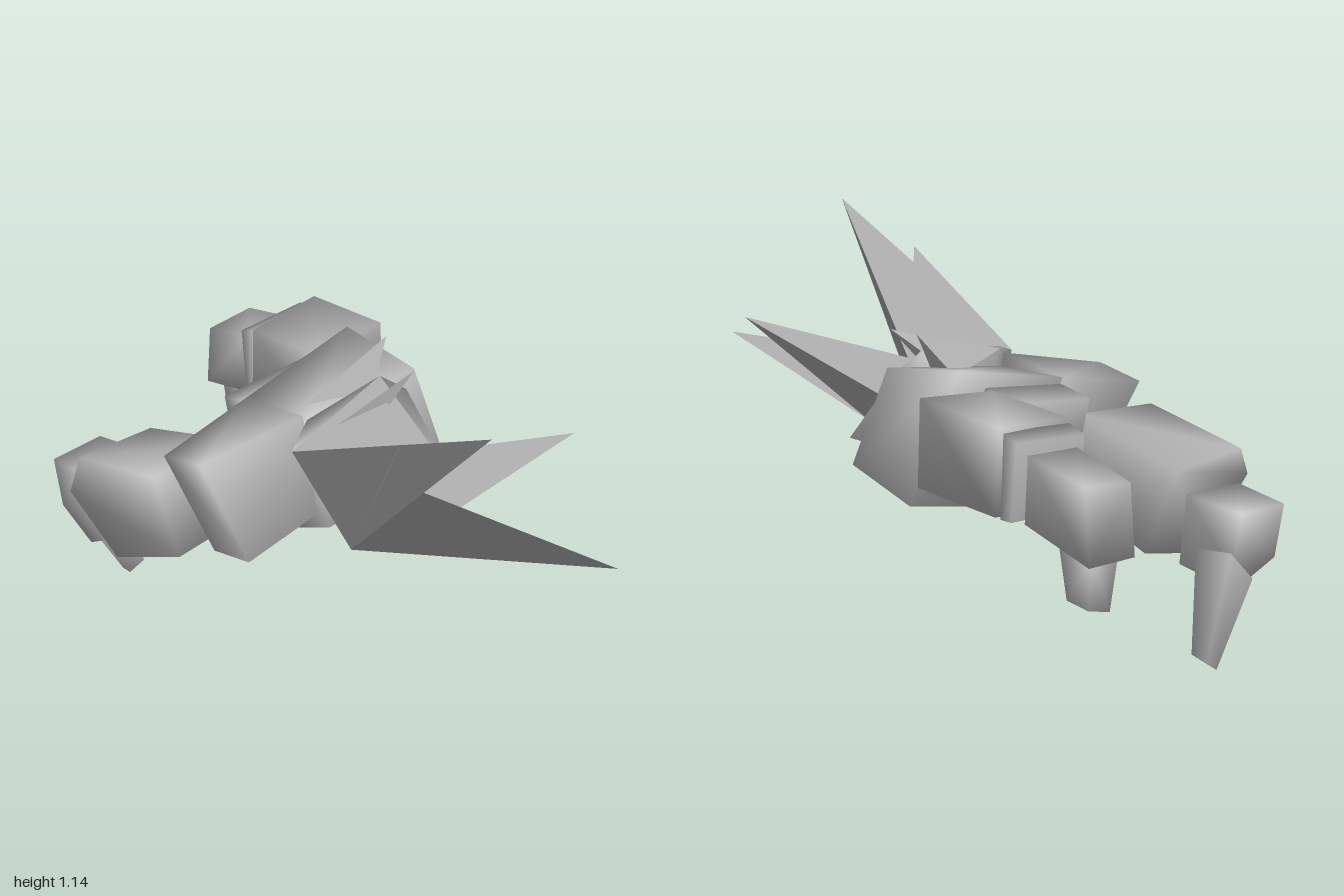
import * as THREE from 'three';
import { mergeVertices } from 'three/addons/utils/BufferGeometryUtils.js';
import { ConvexGeometry } from 'three/addons/geometries/ConvexGeometry.js';

export function createModel() {
  const model = new THREE.Group();
  model.name = 'clawedHand';
  const stone = new THREE.MeshStandardMaterial({ color: 0xb2b2b2, side: THREE.DoubleSide });
  stone.name = 'grey stone';

  const add = (name, geometry) => {
    const mesh = new THREE.Mesh(geometry, stone);
    mesh.name = name;
    model.add(mesh);
  };

  // Soft-shaded convex block from its corner points
  const block = (name, ...corners) => {
    const hull = new ConvexGeometry(corners.map((c) => new THREE.Vector3(...c)));
    hull.deleteAttribute('normal');
    const smooth = mergeVertices(hull, 1e-4);
    smooth.computeVertexNormals();
    add(name, smooth);
  };

  // Thin faceted sheet from triangles of points, optionally shaded as one face
  const sheet = (name, triangles, facing) => {
    const geometry = new THREE.BufferGeometry();
    geometry.setAttribute('position', new THREE.Float32BufferAttribute(triangles.flat(2), 3));
    geometry.computeVertexNormals();
    if (facing) {
      const normal = geometry.attributes.normal;
      for (let i = 0; i < normal.count; i++) normal.setXYZ(i, ...facing);
    }
    add(name, geometry);
  };

  // Palm: two tilted blocks and the link behind them
  block('palmLeft',
    [-0.03, 0.44, -0.04], [0.39, 0.53, 0.03], [-0.02, 0.37, -0.19], [0.39, 0.46, -0.22],
    [-0.08, 0.77, -0.1], [0.35, 0.83, -0.08], [-0.08, 0.78, -0.35], [0.34, 0.87, -0.37]);
  block('palmRight',
    [-0.33, 0.43, -0.06], [-0.06, 0.49, -0.06], [-0.33, 0.4, -0.22], [-0.04, 0.46, -0.2],
    [-0.415, 0.74, -0.17], [-0.08, 0.81, -0.1], [-0.42, 0.71, -0.33], [-0.08, 0.78, -0.35]);
  block('palmLink',
    [-0.08, 0.53, -0.28], [0.22, 0.56, -0.28], [-0.08, 0.76, -0.34], [0.22, 0.8, -0.34],
    [-0.08, 0.54, -0.41], [0.22, 0.57, -0.41], [-0.08, 0.74, -0.46], [0.22, 0.77, -0.45]);

  // Left finger
  block('leftFingerBase',
    [0.23, 0.55, -0.38], [0.5, 0.57, -0.38], [0.23, 0.8, -0.39], [0.5, 0.825, -0.39],
    [0.23, 0.54, -0.7], [0.51, 0.56, -0.7], [0.23, 0.78, -0.69], [0.505, 0.805, -0.71]);
  block('leftFingerJoint',
    [0.24, 0.54, -0.7], [0.49, 0.55, -0.7], [0.24, 0.77, -0.7], [0.49, 0.79, -0.7],
    [0.24, 0.54, -0.74], [0.49, 0.55, -0.74], [0.24, 0.75, -0.76], [0.49, 0.77, -0.76]);
  block('leftFingerTip',
    [0.27, 0.52, -0.75], [0.45, 0.54, -0.75], [0.27, 0.72, -0.76], [0.45, 0.73, -0.76],
    [0.28, 0.47, -0.99], [0.46, 0.48, -1.0], [0.28, 0.67, -0.97], [0.45, 0.69, -0.97]);
  block('leftClaw',
    [0.33, 0.5, -0.86], [0.43, 0.5, -0.86], [0.33, 0.5, -0.98], [0.43, 0.5, -0.98],
    [0.345, 0.35, -0.89], [0.43, 0.36, -0.89], [0.35, 0.33, -0.97], [0.43, 0.35, -0.97]);

  // Right finger
  block('rightFingerBase',
    [-0.45, 0.64, -0.35], [-0.15, 0.66, -0.35], [-0.4, 0.37, -0.3], [-0.15, 0.41, -0.3],
    [-0.46, 0.57, -0.7], [-0.17, 0.56, -0.72], [-0.41, 0.24, -0.6], [-0.15, 0.3, -0.62],
    [-0.515, 0.48, -0.68], [-0.15, 0.45, -0.6]);
  block('rightFingerTip',
    [-0.42, 0.48, -0.73], [-0.2, 0.49, -0.73], [-0.38, 0.25, -0.69], [-0.22, 0.27, -0.69],
    [-0.41, 0.46, -0.91], [-0.22, 0.47, -0.92], [-0.4, 0.3, -0.89], [-0.22, 0.29, -0.89],
    [-0.37, 0.195, -0.79], [-0.28, 0.22, -0.8]);
  block('rightClaw',
    [-0.34, 0.2, -0.79], [-0.32, 0.25, -0.88], [-0.2, 0.34, -0.77], [-0.19, 0.36, -0.91],
    [-0.21, 0.01, -0.81], [-0.16, 0.04, -0.8], [-0.2, 0.0, -0.86], [-0.16, 0.03, -0.86]);

  // Splintered wrist: shard tips, and the rim points between them
  const upperTip = [-0.215, 1.14, 0.8], outerTip = [-0.26, 1.02, 0.5];
  const lowerTip = [0.085, 0.715, 1.0], leftTip = [0.35, 0.87, 0.58];
  const topRight = [-0.21, 0.78, 0], topLeft = [0.2, 0.86, -0.07], low = [-0.07, 0.44, 0.1];
  const corner = [0.3, 0.57, 0.15], inner = [0.12, 0.53, 0.13], dip = [0.17, 0.67, 0.14];
  const centre = [0.03, 0.76, 0.2], rightNotch = [-0.04, 0.73, 0.32], leftNotch = [0.11, 0.57, 0.31];

  block('wristCore', topRight, topLeft, low, [-0.1, 0.82, -0.06], [0.28, 0.8, -0.04],
    [0.3, 0.57, 0.02], [-0.06, 0.5, 0.01], inner, corner);
  sheet('brokenFace', [
    [topRight, upperTip, centre], [topRight, outerTip, centre], [centre, upperTip, rightNotch],
    [low, rightNotch, upperTip], [low, lowerTip, rightNotch], [rightNotch, lowerTip, leftNotch],
    [centre, rightNotch, leftNotch], [centre, leftNotch, leftTip], [centre, leftTip, dip],
    [topRight, centre, topLeft], [centre, dip, topLeft], [dip, corner, topLeft],
    [inner, leftNotch, lowerTip], [inner, dip, leftNotch], [leftNotch, dip, leftTip],
    [inner, corner, dip],
  ], [0, 1, 0]);
  sheet('shardSides', [
    [low, upperTip, topRight], [low, outerTip, topRight], [low, centre, outerTip],
    [low, inner, lowerTip],
  ]);

  // Small splinters along the top of the break
  const splinter = (name, tip, a, b, c) => sheet(name, [[a, b, tip], [b, c, tip], [c, a, tip]]);
  splinter('frontSplinter', [0.235, 0.905, 0.04], [-0.05, 0.8, 0], [0.14, 0.8, 0.02], [0.1, 0.78, -0.05]);
  splinter('backSplinter', [0.3, 0.93, -0.15], [-0.05, 0.83, -0.12], [0.2, 0.8, -0.1], [0.2, 0.8, -0.2]);

  return model;
}
